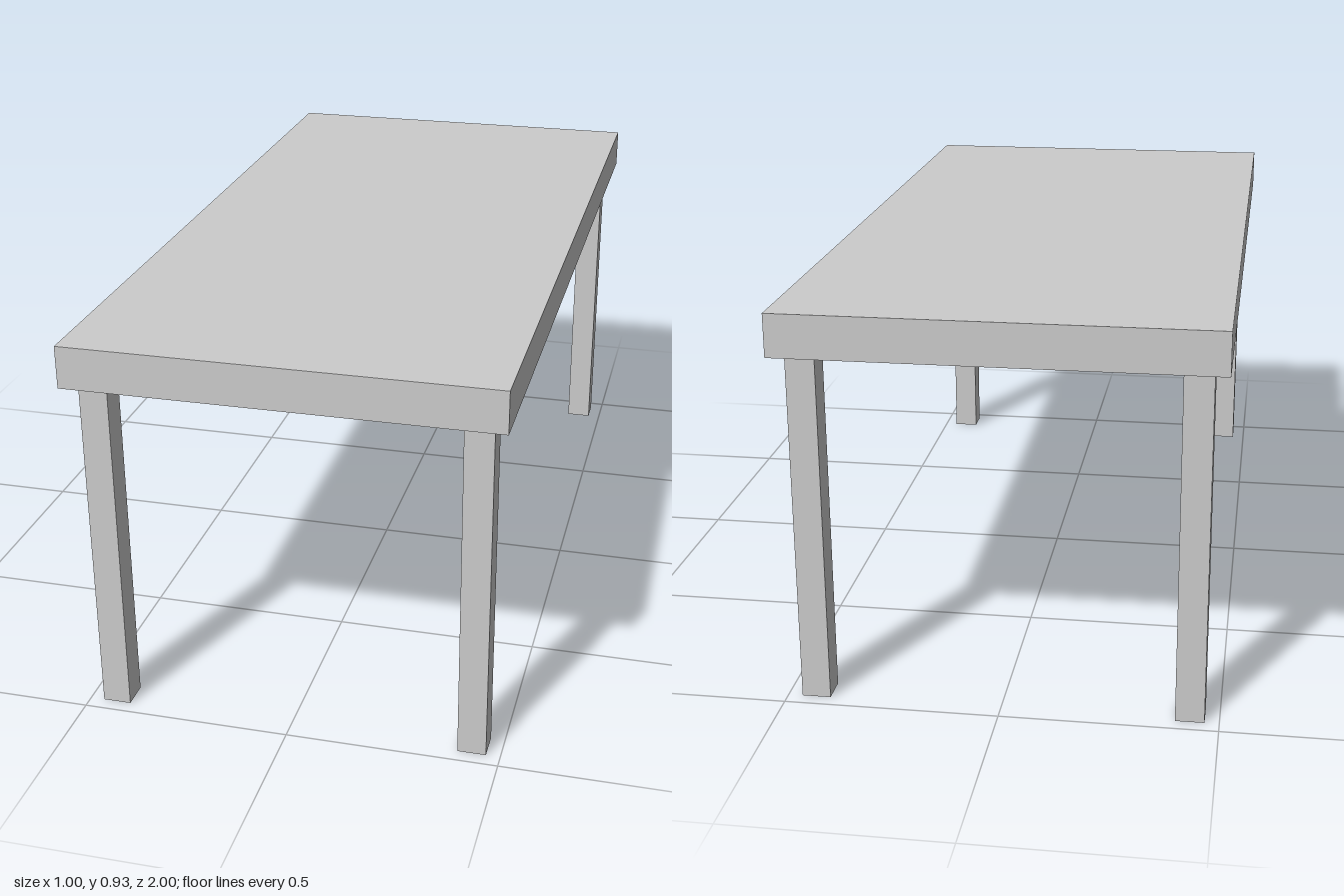
import * as THREE from 'three';

const LEG_HEIGHT = 0.8333;
const LEG_WIDTH = 0.0667;
const TOP_THICKNESS = 0.1;

export function createModel() {
  const table = new THREE.Group();
  table.name = 'table';
  const material = new THREE.MeshStandardMaterial({ color: 0xcccccc });

  // Rectangular slab resting on the legs
  const top = new THREE.Mesh(new THREE.BoxGeometry(1, TOP_THICKNESS, 2), material);
  top.name = 'tableTop';
  top.position.y = LEG_HEIGHT + TOP_THICKNESS / 2;
  table.add(top);

  // Four square legs, set in slightly from the corners
  const legGeometry = new THREE.BoxGeometry(LEG_WIDTH, LEG_HEIGHT, LEG_WIDTH);
  for (const [side, sx] of [['Left', 1], ['Right', -1]]) {
    for (const [end, sz] of [['front', 1], ['back', -1]]) {
      const leg = new THREE.Mesh(legGeometry, material);
      leg.name = `${end}${side}Leg`;
      leg.position.set(sx * 0.4333, LEG_HEIGHT / 2, sz * 0.9333);
      table.add(leg);
    }
  }
  return table;
}
